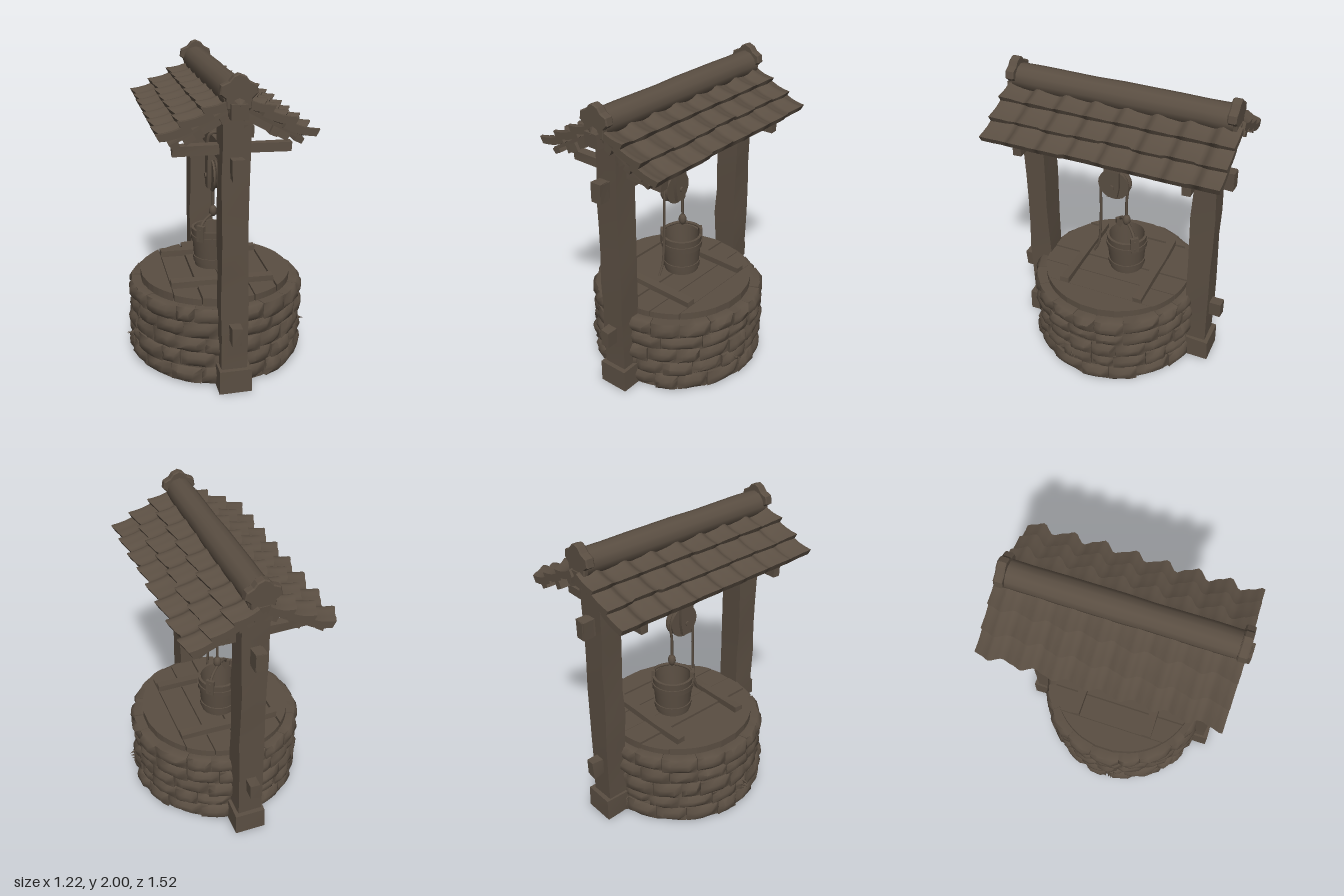
import * as THREE from 'three';
import { mergeGeometries, toCreasedNormals } from 'three/addons/utils/BufferGeometryUtils.js';

const V = (x, y, z) => new THREE.Vector3(x, y, z);

// small seeded random numbers
let seed = 7;
const rnd = () => ((seed = (seed * 16807) % 2147483647) / 2147483647);
const jit = (a) => (rnd() - 0.5) * 2 * a;
// repeatable noise from a position, so shared corners move together
const noise = (x, y, z, k) => {
  const s = Math.sin(x * 127.1 + y * 311.7 + z * 74.7 + k * 53.3) * 43758.5453;
  return (s - Math.floor(s)) * 2 - 1;
};

// move every vertex by a rule, then rebuild normals with sharp edges kept
function warp(geo, rule, crease = 0.7) {
  const p = geo.attributes.position, v = new THREE.Vector3();
  for (let i = 0; i < p.count; i++) {
    rule(v.fromBufferAttribute(p, i));
    p.setXYZ(i, v.x, v.y, v.z);
  }
  return toCreasedNormals(geo, crease);
}

// hand-hewn timber: a box with slightly wandering edges
function timber(w, h, d, rough = 0.006) {
  const n = (l) => Math.max(1, Math.round(l / 0.2));
  const ox = rnd() * 9;
  return warp(new THREE.BoxGeometry(w, h, d, n(w), n(h), n(d)), (v) => {
    const { x, y, z } = v;
    v.x += rough * noise(x + ox, y, z, 1);
    v.y += rough * noise(x + ox, y, z, 2);
    v.z += rough * noise(x + ox, y, z, 3);
  });
}

export function createModel() {
  seed = 7;
  const group = new THREE.Group();
  const wood = new THREE.MeshStandardMaterial({ color: 0x5a4e42 });
  wood.name = 'weathered brown';
  const add = (name, geo, x = 0, y = 0, z = 0, parent = group) => {
    const m = new THREE.Mesh(geo, wood);
    m.name = name;
    m.position.set(x, y, z);
    parent.add(m);
    return m;
  };

  // ---- stone ring: solid core plus courses of bent, bulging stones
  const wz = 0.02;
  add('wallCore', new THREE.CylinderGeometry(0.545, 0.545, 0.515, 48), 0, 0.2625, wz);
  const stones = [];
  const courses = [0.005, 0.115, 0.215, 0.325, 0.425, 0.525];
  for (let r = 0; r < 5; r++) {
    const n = 17 + (r % 3), cuts = [];
    for (let i = 0; i < n; i++) cuts.push(((i + (r % 2) * 0.5 + jit(0.22)) / n) * Math.PI * 2);
    cuts.push(cuts[0] + Math.PI * 2);
    for (let i = 0; i < n; i++) {
      const a0 = cuts[i], a1 = cuts[i + 1], out = 0.573 + jit(0.01);
      const y0 = courses[r] + (r ? jit(0.009) : 0), y1 = courses[r + 1] + (r < 4 ? jit(0.009) : jit(0.004));
      const k = rnd() * 10;
      stones.push(warp(new THREE.BoxGeometry(1, 1, 1, 4, 3, 1), (v) => {
        const { x, y, z } = v;
        const edge = Math.max(Math.abs(x), Math.abs(y)) > 0.49;
        const rad = z < 0 ? 0.49 : out + (edge ? -0.018 : 0.006) + 0.006 * noise(x, y, z, k);
        const a = a0 + (a1 - a0) * (0.5 + x * 0.98);
        v.set(Math.sin(a) * rad, y0 + (y1 - y0) * (0.5 + y * 0.98), Math.cos(a) * rad);
      }, 1.0));
    }
  }
  add('stones', mergeGeometries(stones), 0, 0, wz);

  // small tufts sticking out of the wall
  for (const s of [-1, 1]) for (let i = 0; i < 3; i++) {
    const tuft = add('tuft', new THREE.ConeGeometry(0.011, 0.05, 5), s * 0.585, 0.16 + i * 0.012, 0.08 + i * 0.018);
    tuft.rotation.z = -s * (1.0 + i * 0.45);
  }

  // ---- lid: boards cut to a circle, with two battens across
  const R = 0.5, boards = 6, bw = (2 * R) / boards;
  for (let i = 0; i < boards; i++) {
    const x0 = -R + i * bw + 0.004, x1 = x0 + bw - 0.008, pts = [];
    const half = (x) => Math.sqrt(Math.max(0, R * R - x * x));
    for (let j = 0; j <= 6; j++) { const x = x0 + ((x1 - x0) * j) / 6; pts.push(new THREE.Vector2(x, -half(x))); }
    for (let j = 6; j >= 0; j--) { const x = x0 + ((x1 - x0) * j) / 6; pts.push(new THREE.Vector2(x, half(x))); }
    const geo = new THREE.ExtrudeGeometry(new THREE.Shape(pts), { depth: 0.055 + jit(0.006), bevelEnabled: false });
    add('lidBoard', geo.rotateX(-Math.PI / 2), 0, 0.515, wz);
  }
  for (const z of [-0.25, 0.275]) add('lidBatten', timber(0.67, 0.045, 0.06, 0.004), 0, 0.585, z);

  // ---- posts with feet and pegs, front and back
  for (const s of [1, -1]) {
    add('post', timber(0.165, 1.76, 0.15), 0.003, 0.88, s * 0.583);
    add('postFoot', timber(0.205, 0.155, 0.16, 0.005), 0.005, 0.08, s * 0.608);
    add('lowerPeg', timber(0.065, 0.115, 0.12), 0, 0.41, s * 0.68);
    add('crossBar', timber(0.7, 0.058, 0.055, 0.004), 0, 1.54, s * 0.545);
    add('postBlock', timber(0.06, 0.07, 0.07, 0.004), 0.075, 1.66, s * 0.62);
  }
  add('mainBeam', timber(0.066, 0.11, 1.48, 0.004), 0, 1.455, -0.005);
  for (const s of [1, -1]) add('beamEnd', timber(0.072, 0.122, 0.075, 0.003), 0, 1.455, s * 0.705);

  // ---- roof: overlapping rows of wavy tiles on each slope
  const tilt = 0.5, top = 1.86, cz = -0.017, len = 1.49;
  const wave = (z) => {
    const t = ((z + cz - 0.11) / 0.197) * Math.PI * 2;
    return 0.8 * Math.cos(t) + 0.28 * Math.sin(2 * t);
  };
  for (const s of [1, -1]) {
    const slope = new THREE.Group();
    slope.name = s > 0 ? 'leftRoofSlope' : 'rightRoofSlope';
    slope.position.set(0, top, cz);
    slope.rotation.z = -s * tilt;
    group.add(slope);
    [[0.04, 0.2], [0.165, 0.345], [0.305, 0.485]].forEach(([a, b], row) => {
      const geo = warp(new THREE.BoxGeometry(b - a, 0.045, len, 4, 1, 76), (v) => {
        const { x, y, z } = v, t = 0.5 + (s * x) / (b - a);
        const w = wave(z);
        v.y += w * (0.016 + 0.01 * t) + (t - 0.5) * 0.034 - 0.012 * Math.sin(Math.PI * t)
          + 0.003 * noise(0, 0, Math.round(z / 0.1), row + s);
        v.x += s * t * (0.013 * w + 0.006 * noise(0, 1, Math.round((z + cz - 0.11) / 0.197), row + s));
      }, 0.8);
      add('tileRow', geo, s * (a + b) / 2, 0, 0, slope);
    });
    // boarding, rafters and purlins below the tiles
    add('roofBoard', timber(0.42, 0.02, 1.43, 0.002), s * 0.24, -0.035, 0, slope);
    for (const z of [-0.62, 0.65]) add('rafter', timber(0.36, 0.05, 0.07, 0.003), s * 0.2, -0.065, z, slope);
    for (const d of [0.12, 0.285]) add('purlin', timber(0.05, 0.055, 1.42, 0.003), s * d, -0.07, 0, slope);
    add('eaveBoard', timber(0.05, 0.035, 1.44, 0.003), s * 0.43, -0.05, 0, slope);
  }

  // ---- ridge: log cover with a pointed collar at each end
  const log = warp(new THREE.CylinderGeometry(0.085, 0.085, 1.42, 12, 8), (v) => {
    const k = 1 + 0.035 * noise(0, Math.round(v.y * 10), 0, 4);
    v.x *= k; v.z *= k;
  }, 0.9).rotateX(Math.PI / 2);
  add('ridgeCover', log, 0, 1.868, -0.005);
  add('ridgeBeam', timber(0.1, 0.09, 1.5, 0.004), 0, 1.79, 0.005);
  const collar = new THREE.Shape([[-0.07, 1.80], [-0.075, 1.86], [-0.108, 1.885], [-0.1, 1.935], [-0.055, 1.955],
    [-0.03, 1.985], [0, 1.998], [0.04, 1.982], [0.06, 1.955], [0.1, 1.935], [0.108, 1.89], [0.075, 1.86], [0.07, 1.80]]
    .map(([x, y]) => new THREE.Vector2(x, y)));
  const cap = new THREE.ExtrudeGeometry(collar, { depth: 0.04, bevelSize: 0.006, bevelThickness: 0.008, bevelOffset: -0.006, bevelSegments: 1 });
  for (const z of [0.685, -0.73]) add('ridgeCollar', cap, 0, 0, z);
  add('ridgeTip', new THREE.ConeGeometry(0.075, 0.05, 8).rotateX(Math.PI / 2), 0, 1.825, 0.735);
  
  // ---- pulley hung from the beam
  const py = 1.23, pz = 0.045;
  const wheel = new THREE.LatheGeometry([[0, -0.03], [0.107, -0.03], [0.107, -0.018], [0.088, -0.008], [0.088, 0.008],
    [0.107, 0.018], [0.107, 0.03], [0, 0.03]].map(([x, y]) => new THREE.Vector2(x, y)), 20);
  add('pulleyWheel', toCreasedNormals(wheel, 0.6).rotateZ(Math.PI / 2), 0, py, pz);
  for (const s of [1, -1]) {
    const cheek = warp(new THREE.BoxGeometry(0.025, 0.25, 0.1, 1, 3, 1), (v) => {
      if (v.y < -0.1) v.z *= 0.7;
    });
    add('pulleyCheek', cheek, s * 0.047, 1.275, pz);
  }
  add('pulleyTop', timber(0.12, 0.06, 0.11, 0.003), 0, 1.375, pz);
  add('pulleyAxle', new THREE.CylinderGeometry(0.018, 0.018, 0.14, 8).rotateZ(Math.PI / 2), 0, py, pz);

  // ---- ropes
  const rope = (name, pts, r = 0.011, closed = false, parent = group) =>
    add(name, new THREE.TubeGeometry(new THREE.CatmullRomCurve3(pts, closed), 32, r, 6, closed), 0, 0, 0, parent);
  rope('pulleyRope', [V(0, 0.95, -0.037), V(0, 1.1, -0.036), V(0, 1.22, -0.045), V(0, 1.3, -0.015), V(0, 1.325, pz),
    V(0, 1.3, 0.11), V(0, 1.22, 0.143), V(0, 1.0, 0.148), V(0, 0.8, 0.157), V(0, 0.69, 0.172), V(0, 0.625, 0.205)], 0.009);
  rope('beamRope', [V(0.045, 1.39, 0.07), V(0.045, 1.51, 0.092), V(0, 1.525, 0.095), V(-0.045, 1.51, 0.092),
    V(-0.045, 1.39, 0.07), V(0, 1.37, 0.065)], 0.012, true);
  add('ropeKnot', new THREE.SphereGeometry(0.027, 10, 8).scale(1, 1.5, 1), 0, 0.955, -0.037);

  // ---- bucket: tapered staves, hoops, ears and a bail
  const bucket = new THREE.Group();
  bucket.name = 'bucket';
  bucket.position.set(-0.008, 0.578, -0.037);
  bucket.rotation.y = Math.PI / 4;
  group.add(bucket);
  const turned = (pts) => toCreasedNormals(new THREE.LatheGeometry(pts.map(([x, y]) => new THREE.Vector2(x, y)), 20), 0.6);
  add('bucketBody', turned([[0, 0], [0.115, 0], [0.138, 0.265], [0.12, 0.265], [0.1, 0.03], [0, 0.03]]), 0, 0, 0, bucket);
  for (const y of [0.03, 0.18]) {
    const r = 0.115 + y * 0.087;
    add('bucketHoop', turned([[r - 0.004, y], [r + 0.008, y], [r + 0.011, y + 0.04], [r, y + 0.04]]), 0, 0, 0, bucket);
  }
  for (const s of [1, -1]) add('bucketEar', timber(0.024, 0.11, 0.055, 0.002), s * 0.128, 0.25, 0, bucket);
  rope('bucketBail', [V(-0.135, 0.275, 0), V(-0.105, 0.32, 0), V(-0.045, 0.345, 0), V(0, 0.352, 0),
    V(0.045, 0.345, 0), V(0.105, 0.32, 0), V(0.135, 0.275, 0)], 0.01, false, bucket);

  return group;
}
